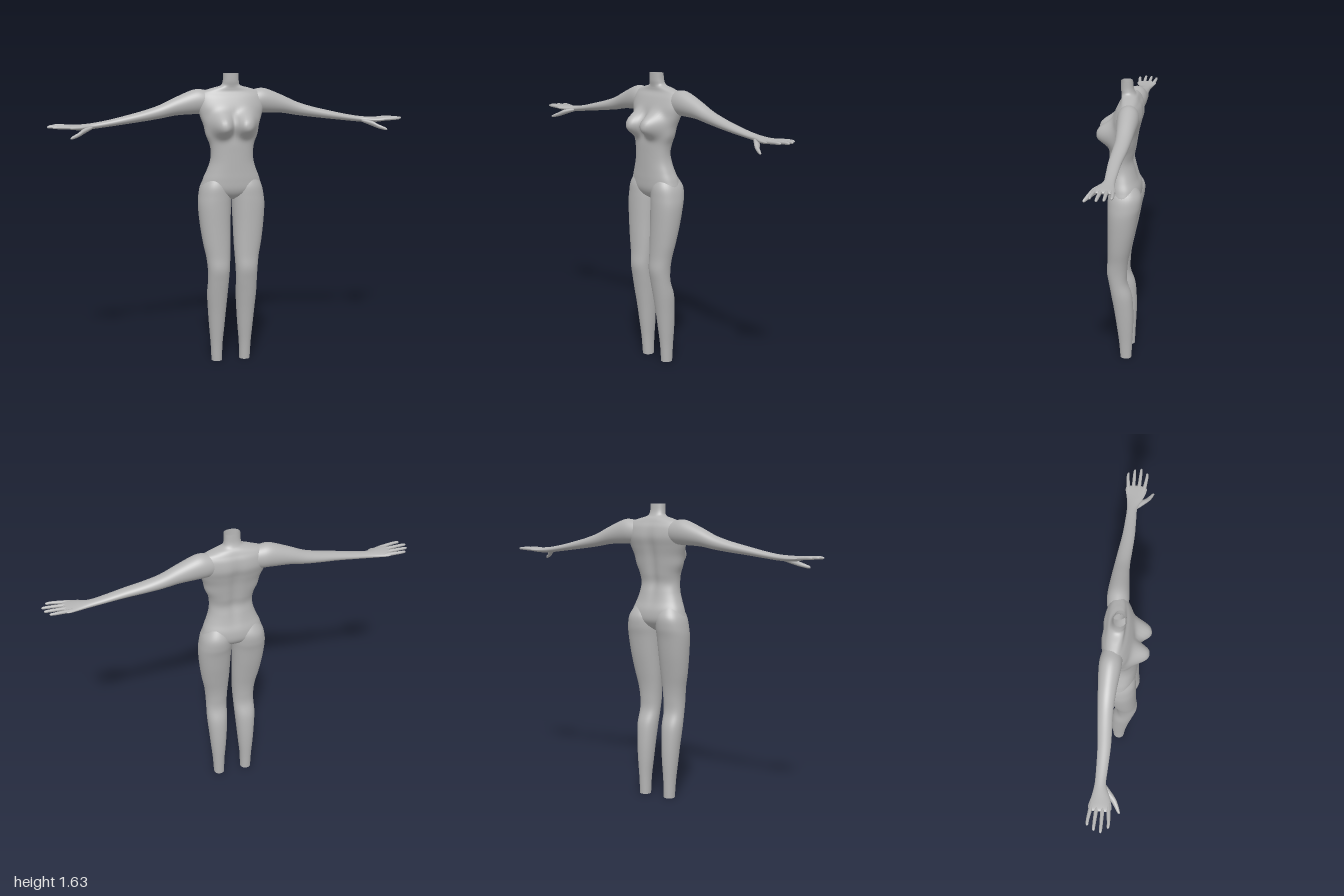
import * as THREE from 'three';

// Smooth loft through oval sections, along y: [y, x, z, rx, rz] or along x: [x, y, z, ry, rz]
function loft(rows, { axis = 'y', sides = 40, steps = 5, power = 2, mirror = 1, deform } = {}) {
  const pos = [], idx = [], last = rows.length - 1, rings = last * steps;
  const spline = (k, i, t) => {
    const [a, b, c, d] = [-1, 0, 1, 2].map((o) => rows[Math.min(last, Math.max(0, i + o))][k]);
    return b + 0.5 * t * (c - a + t * (2 * a - 5 * b + 4 * c - d + t * (3 * (b - c) + d - a)));
  };
  const oval = (v) => Math.sign(v) * Math.abs(v) ** (2 / power);
  const p = new THREE.Vector3();
  for (let r = 0; r <= rings; r++) {
    const i = Math.min(last - 1, Math.floor(r / steps)), t = r / steps - i;
    const [along, c, z, rc, rz] = [0, 1, 2, 3, 4].map((k) => spline(k, i, t));
    for (let j = 0; j < sides; j++) {
      const a = (j / sides) * Math.PI * 2, s = oval(Math.sin(a)), co = oval(Math.cos(a));
      if (axis === 'y') p.set(c + rc * s, along, z + rz * co);
      else p.set(along, c - rc * s, z + rz * co);
      if (deform) deform(p, co);
      pos.push(p.x * mirror, p.y, p.z);
      if (r === rings) continue;
      const k = (j + 1) % sides, A = r * sides + j, B = r * sides + k, C = B + sides, D = A + sides;
      if (mirror > 0) idx.push(A, B, C, A, C, D);
      else idx.push(A, C, B, A, D, C);
    }
  }
  const g = new THREE.BufferGeometry();
  g.setAttribute('position', new THREE.Float32BufferAttribute(pos, 3));
  g.setIndex(idx);
  g.computeVertexNormals();
  return g;
}

const TORSO = [
  [0.94, 0, -0.02, 0.012, 0.03], [0.965, 0, -0.02, 0.1, 0.065], [1.0, 0, -0.022, 0.165, 0.085],
  [1.05, 0, -0.02, 0.16, 0.087], [1.1, 0, -0.012, 0.14, 0.079], [1.15, 0, -0.006, 0.123, 0.073],
  [1.2, 0, -0.001, 0.118, 0.068], [1.25, 0, -0.005, 0.125, 0.072], [1.3, 0, -0.01, 0.145, 0.074],
  [1.35, 0, -0.016, 0.155, 0.076], [1.4, 0, -0.027, 0.172, 0.077], [1.45, 0, -0.037, 0.185, 0.079],
  [1.5, 0, -0.044, 0.185, 0.066], [1.53, 0, -0.046, 0.165, 0.05], [1.55, 0, -0.042, 0.105, 0.043],
  [1.565, 0, -0.035, 0.055, 0.037], [1.59, 0, -0.028, 0.044, 0.034], [1.63, 0, -0.025, 0.043, 0.032],
];
const LEG = [
  [0, 0.082, -0.034, 0.03, 0.032], [0.1, 0.083, -0.032, 0.034, 0.038], [0.2, 0.083, -0.028, 0.043, 0.047],
  [0.3, 0.083, -0.021, 0.051, 0.054], [0.4, 0.083, -0.008, 0.058, 0.058], [0.48, 0.081, 0.012, 0.059, 0.052],
  [0.55, 0.08, 0.018, 0.062, 0.057], [0.62, 0.082, 0.012, 0.068, 0.058], [0.7, 0.088, 0.003, 0.078, 0.065],
  [0.8, 0.094, -0.008, 0.086, 0.075], [0.9, 0.0965, -0.017, 0.0915, 0.084], [0.96, 0.094, -0.024, 0.09, 0.09],
  [1.02, 0.09, -0.026, 0.08, 0.088], [1.08, 0.08, -0.02, 0.055, 0.06],
];
const ARM = [
  [0.08, 1.475, -0.05, 0.05, 0.04], [0.14, 1.477, -0.053, 0.064, 0.054], [0.2, 1.477, -0.055, 0.067, 0.056],
  [0.3, 1.455, -0.057, 0.05, 0.047], [0.39, 1.427, -0.056, 0.037, 0.04], [0.48, 1.407, -0.05, 0.029, 0.037],
  [0.58, 1.389, -0.043, 0.023, 0.033], [0.68, 1.372, -0.042, 0.018, 0.029], [0.76, 1.361, -0.042, 0.016, 0.028],
  [0.82, 1.357, -0.034, 0.015, 0.044], [0.87, 1.358, -0.032, 0.012, 0.057], [0.89, 1.36, -0.032, 0.007, 0.05],
  [0.895, 1.36, -0.032, 0.001, 0.035],
];
const THUMB = [
  [0.76, 1.355, -0.025, 0.008, 0.012], [0.81, 1.34, 0.012, 0.014, 0.02], [0.84, 1.325, 0.037, 0.012, 0.014],
  [0.87, 1.314, 0.054, 0.009, 0.009], [0.882, 1.31, 0.06, 0.006, 0.006], [0.886, 1.309, 0.061, 0.0005, 0.0005],
];
// Finger tip x and z, little finger first
const FINGERS = [[0.97, -0.083], [0.992, -0.05], [1.0, -0.016], [0.975, 0.018]];

// Breasts in front, spine groove behind
function shapeTorso(p, facing) {
  if (facing > 0) {
    const dx = (Math.abs(p.x) - 0.065) / 0.055, dy = p.y - 1.355;
    const r = Math.hypot(dx, dy / (dy > 0 ? 0.065 : 0.06));
    p.z += 0.075 * Math.exp(-(r ** 3)) * Math.min(1, 2 * facing);
  } else {
    const height = Math.exp(-(((p.y - 1.3) / 0.19) ** 4));
    p.z += 0.012 * height * Math.exp(-((p.x / 0.028) ** 2)) * Math.min(1, -2 * facing);
  }
}

export function createModel() {
  const model = new THREE.Group();
  model.name = 'body';
  const grey = new THREE.MeshStandardMaterial({ color: 0xb4b4b4, side: THREE.DoubleSide });
  grey.name = 'plain grey';
  const add = (parent, name, geometry) => {
    const mesh = new THREE.Mesh(geometry, grey);
    mesh.name = name;
    parent.add(mesh);
  };

  add(model, 'torso', loft(TORSO, { sides: 72, steps: 6, power: 2.25, deform: shapeTorso }));

  for (const [side, mirror] of [['left', 1], ['right', -1]]) {
    add(model, side + 'Leg', loft(LEG, { power: 2.15, mirror }));
    add(model, side + 'Arm', loft(ARM, { axis: 'x', mirror }));

    const hand = new THREE.Group();
    hand.name = side + 'Fingers';
    model.add(hand);
    add(hand, side + 'Thumb', loft(THUMB, { axis: 'x', sides: 16, mirror }));
    FINGERS.forEach(([tip, z], i) => {
      const root = -0.032 + (z + 0.032) * 0.75;
      const finger = [
        [0.85, 1.358, root, 0.009, 0.012], [0.89, 1.361, (root + z) / 2, 0.009, 0.01],
        [tip - 0.03, 1.364, z, 0.008, 0.008], [tip - 0.006, 1.364, z, 0.006, 0.006],
        [tip, 1.364, z, 0.0005, 0.0005],
      ];
      add(hand, side + 'Finger' + (i + 1), loft(finger, { axis: 'x', sides: 14, steps: 4, mirror }));
    });
  }
  return model;
}
